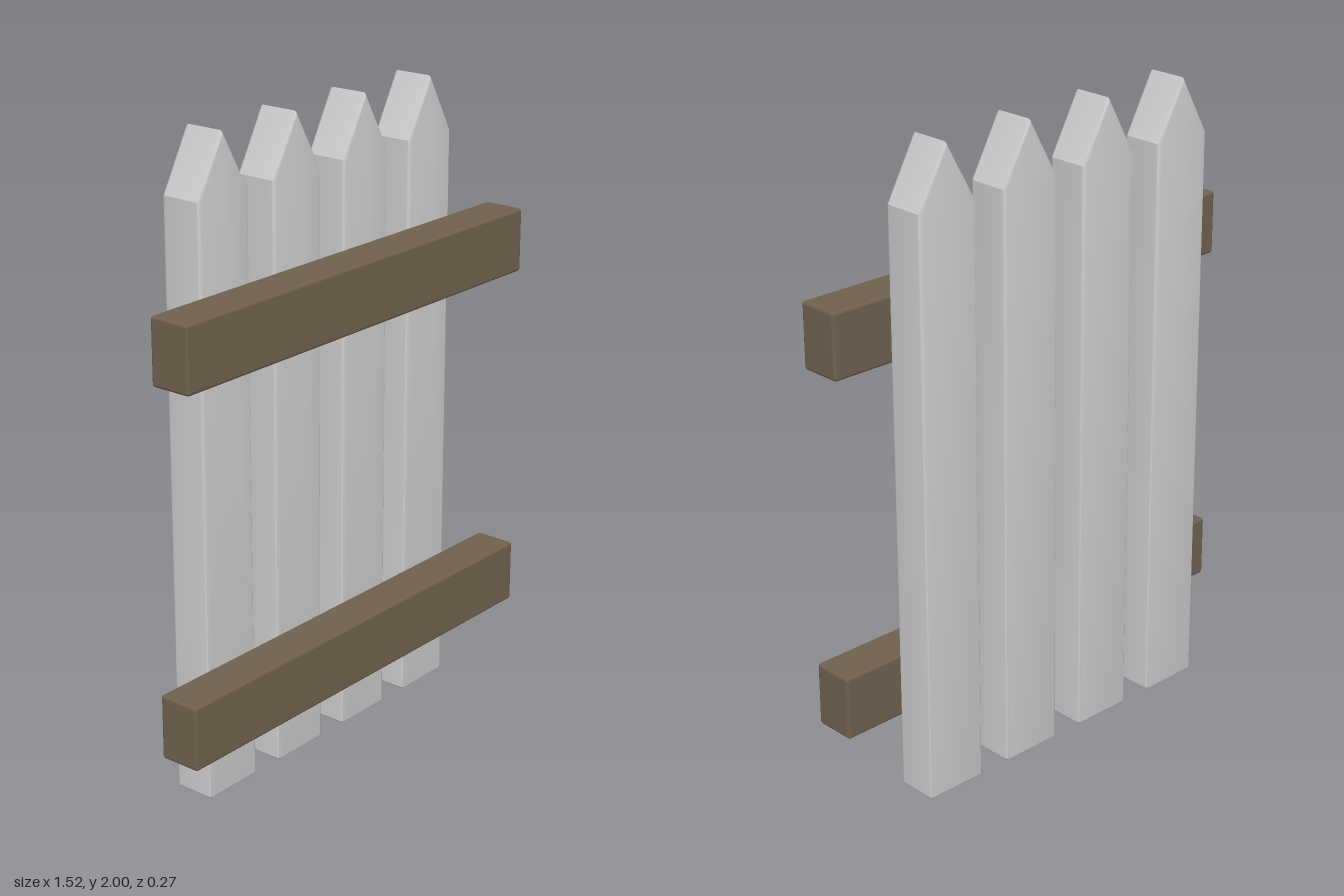
import * as THREE from 'three';
import { toCreasedNormals } from 'three/addons/utils/BufferGeometryUtils.js';
import { RoundedBoxGeometry } from 'three/addons/geometries/RoundedBoxGeometry.js';

const DEPTH = 0.135;   // thickness of pickets and rails
const GAP = 0.002;     // hairline gap between pickets and rails
const BEVEL = 0.01;

// Pointed board with softened edges, standing on y = 0
function picketGeometry() {
  const w = 0.1015, c = 0.007;
  const shape = new THREE.Shape([
    [-w + c, 0], [w - c, 0], [w, c], [w, 1.82], [0, 2], [-w, 1.82], [-w, c],
  ].map(([x, y]) => new THREE.Vector2(x, y)));
  const geometry = new THREE.ExtrudeGeometry(shape, {
    depth: DEPTH - 2 * BEVEL,
    bevelThickness: BEVEL,
    bevelSize: BEVEL,
    bevelOffset: -BEVEL,
    bevelSegments: 4,
  });
  geometry.translate(0, 0, BEVEL - DEPTH - GAP);
  return toCreasedNormals(geometry, 0.45);
}

export function createModel() {
  const fence = new THREE.Group();
  fence.name = 'picketFence';
  const grey = new THREE.MeshStandardMaterial({ color: 0xcccccc });
  const brown = new THREE.MeshStandardMaterial({ color: 0x6f604e });

  // Four upright pickets at the back
  const picket = picketGeometry();
  [-0.455, -0.148, 0.159, 0.466].forEach((x, i) => {
    const mesh = new THREE.Mesh(picket, grey);
    mesh.name = `picket${i + 1}`;
    mesh.position.x = x;
    fence.add(mesh);
  });

  // Two horizontal rails across the front
  const rail = new RoundedBoxGeometry(1.522, 0.202, DEPTH, 3, BEVEL);
  [['lowerRail', 0.329], ['upperRail', 1.455]].forEach(([name, y]) => {
    const mesh = new THREE.Mesh(rail, brown);
    mesh.name = name;
    mesh.position.set(0, y, DEPTH / 2 + GAP);
    fence.add(mesh);
  });

  return fence;
}
